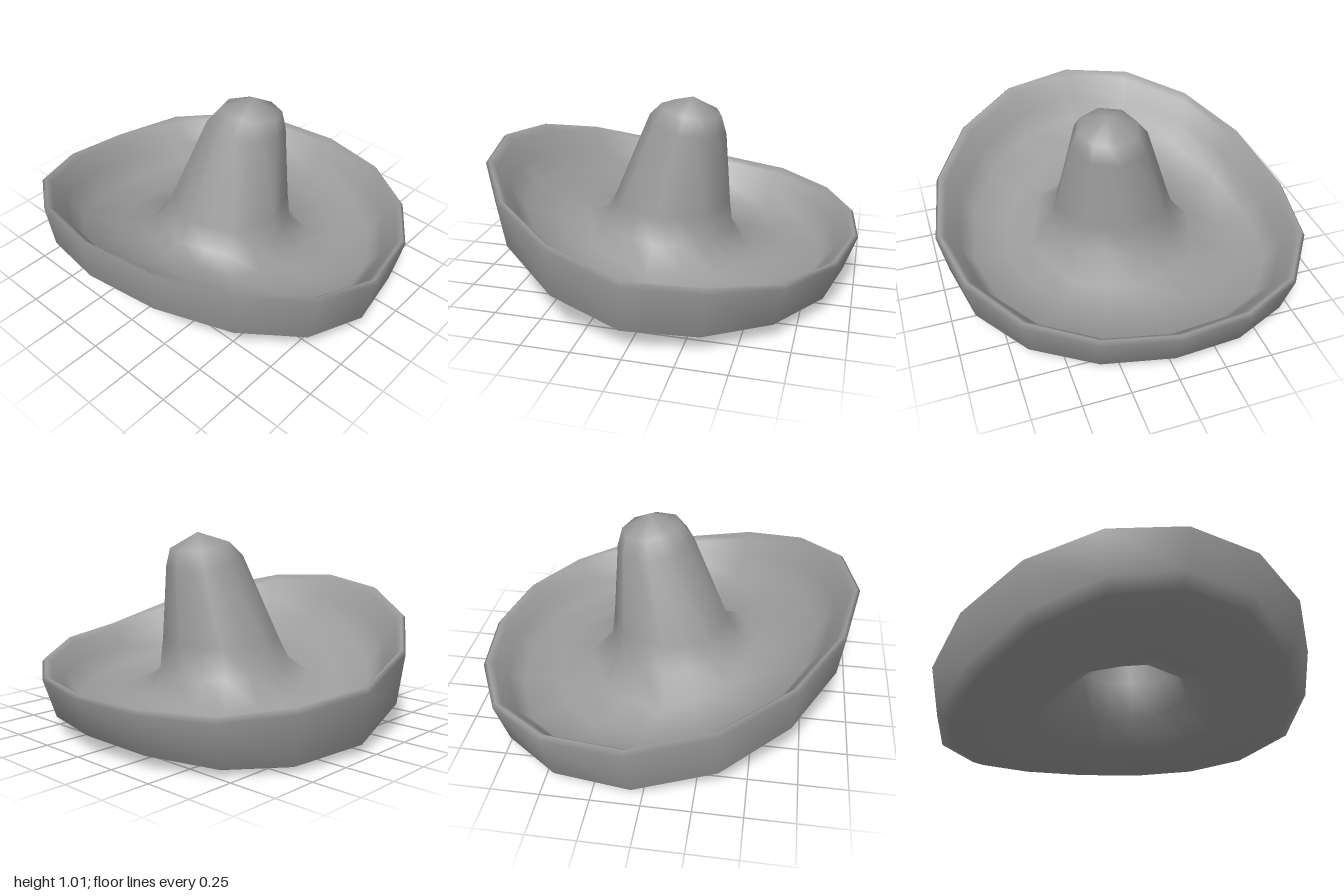
import * as THREE from 'three';
import { mergeVertices } from 'three/addons/utils/BufferGeometryUtils.js';

const SIDES = 16;

// Piecewise linear height along z
function along(z, table) {
  let i = 0;
  while (i < table.length - 2 && z > table[i + 1][0]) i++;
  const [z0, y0] = table[i], [z1, y1] = table[i + 1];
  return y0 + (y1 - y0) * THREE.MathUtils.clamp((z - z0) / (z1 - z0), 0, 1);
}

// Underside of the brim: turned up at the front, drooping at the sides
const floorY = (x, z) =>
  along(z, [[-0.9, 0.035], [-0.3, 0.08], [0, 0.105], [0.4, 0.195], [0.7, 0.305], [1, 0.43]])
  - 0.1 * x * x + 0.035 * x;

// Top edge of the brim
const rimY = (x, z) =>
  along(z, [[-1, 0.3], [-0.72, 0.305], [-0.4, 0.345], [0, 0.37], [0.4, 0.48], [0.72, 0.59], [0.93, 0.68], [1, 0.71]])
  + 0.025 * x;

// Ring of the eight-sided crown at a set height, rising to the front by tilt
const crownRing = (r, cx, cz, y, tilt = 0) => ({ r, cx, cz, y, tilt, eight: true });
// Ring where the crown flares into the brim
const flareRing = (r, cz, lift) => ({ r, cx: 0.015, cz, t: 0, lift, eight: true });
// Ring of the brim: t runs from the floor (0) to the rim (1)
const brimRing = (r, t, lift = 0, cz = 0) => ({ r, cx: 0, cz, t, lift });

export function createModel() {
  const rings = [
    // outside of the crown
    crownRing(0, 0.08, -0.12, 1.015),
    crownRing(0.16, 0.075, -0.11, 0.945, 0.15),
    crownRing(0.207, 0.06, -0.088, 0.86, 0.19),
    crownRing(0.32, 0.025, 0.003, 0.43),
    crownRing(0.36, 0.015, 0.025, 0.285, 0.08),
    flareRing(0.475, 0.02, 0.07),
    // top of the brim, lip, outer wall and underside
    brimRing(0.62, 0, 0.06),
    brimRing(0.81, 0.1, 0.06),
    brimRing(0.885, 0.55, 0.03),
    brimRing(0.95, 0.92),
    brimRing(0.982, 1),
    brimRing(1, 0.93),
    brimRing(0.952, 0.2, 0, 0.02),
    brimRing(0.885, 0.06, 0, 0.03),
    brimRing(0.76, 0, 0, 0.01),
    // inside of the crown
    flareRing(0.5, 0.02, 0.015),
    crownRing(0.335, 0.015, 0.025, 0.255, 0.08),
    crownRing(0.29, 0.025, 0.003, 0.43),
    crownRing(0.18, 0.06, -0.088, 0.84, 0.19),
    crownRing(0.135, 0.075, -0.11, 0.92, 0.15),
    crownRing(0, 0.08, -0.12, 0.985),
  ];
  const crownBands = 5, liningStart = 15;

  const points = [];
  for (const ring of rings) {
    for (let k = 0; k < SIDES; k++) {
      const a = (k / SIDES) * Math.PI * 2;
      const r = ring.r * (ring.eight && k % 2 ? Math.cos(Math.PI / 8) : 1);
      // the brim is pushed out a little at the back right
      const bulge = ring.eight ? 0 : 0.12 * Math.max(0, Math.cos(a - 4.25)) ** 4;
      const x = ring.cx + r * Math.sin(a);
      const z = ring.cz + r * (Math.cos(a) - bulge);
      const y = ring.y === undefined
        ? THREE.MathUtils.lerp(floorY(x, z), rimY(x, z), ring.t) + ring.lift
        : ring.y + ring.tilt * r * Math.cos(a);
      points.push(x, Math.max(0, y), z);
    }
  }

  const index = [];
  for (let i = 0; i < rings.length - 1; i++) {
    for (let k = 0; k < SIDES; k++) {
      const n = (k + 1) % SIDES;
      const a = i * SIDES + k, b = a + SIDES, c = (i + 1) * SIDES + n, d = i * SIDES + n;
      index.push(a, b, c, a, c, d);
    }
  }

  let skin = new THREE.BufferGeometry();
  skin.setAttribute('position', new THREE.Float32BufferAttribute(points, 3));
  skin.setIndex(index);
  skin = mergeVertices(skin);
  skin.computeVertexNormals();

  // Split into crown and brim, sharing normals so the joint stays smooth
  const all = Array.from(skin.index.array);
  const material = new THREE.MeshStandardMaterial({ color: 0x9c9c9c, side: THREE.DoubleSide });
  const group = new THREE.Group();
  group.name = 'sombrero';
  const addPart = (name, from, to) => {
    const g = new THREE.BufferGeometry();
    g.setAttribute('position', skin.attributes.position);
    g.setAttribute('normal', skin.attributes.normal);
    g.setIndex(all.slice(from * SIDES * 6, to * SIDES * 6));
    const mesh = new THREE.Mesh(g, material);
    mesh.name = name;
    group.add(mesh);
  };
  addPart('crown', 0, crownBands);
  addPart('brim', crownBands, liningStart);
  addPart('crownLining', liningStart, rings.length - 1);
  return group;
}
